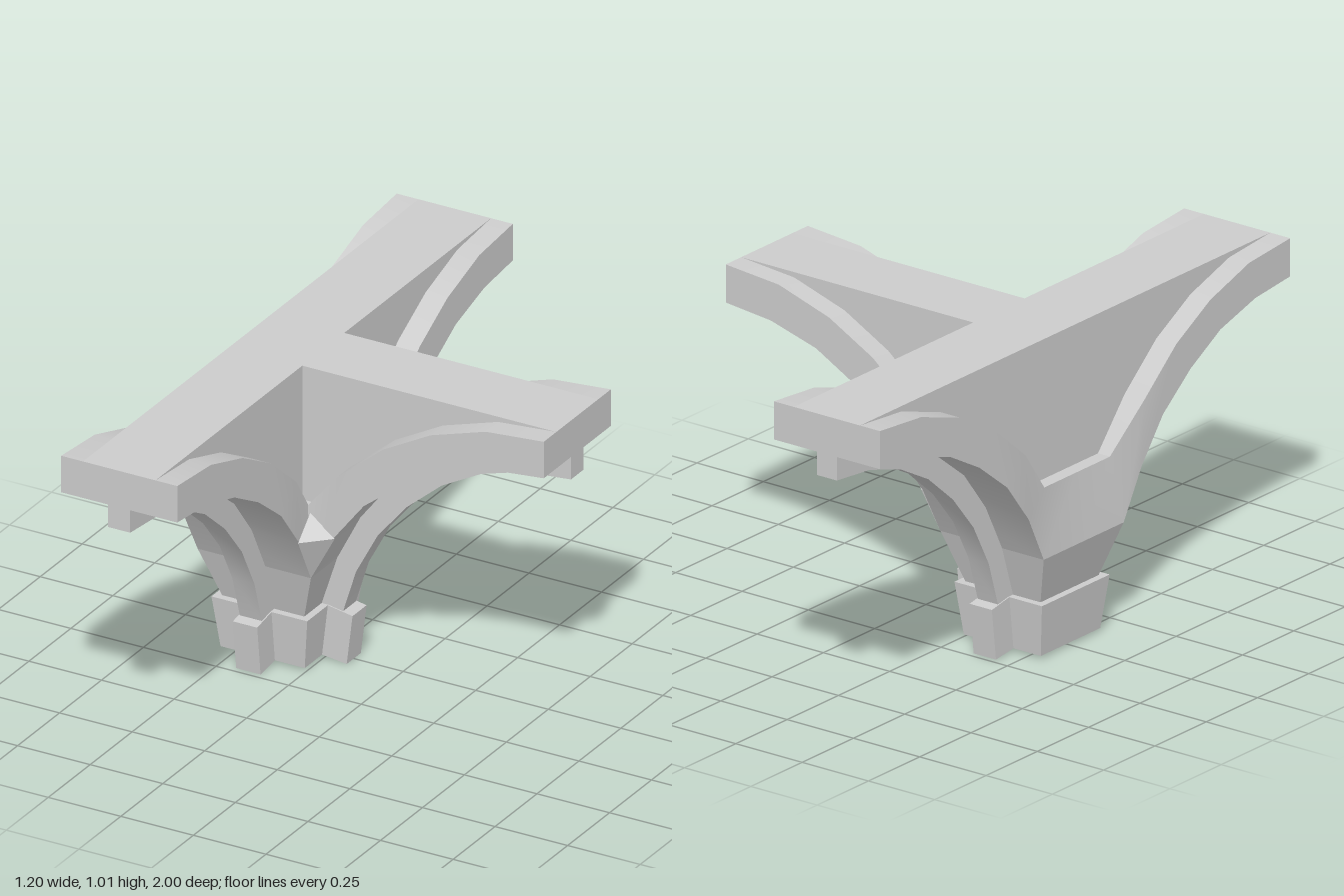
import * as THREE from 'three';
import { toCreasedNormals } from 'three/addons/utils/BufferGeometryUtils.js';
import { ConvexGeometry } from 'three/addons/geometries/ConvexGeometry.js';

const material = new THREE.MeshStandardMaterial({ color: 0xcccccc });
const TOP = 1.007;

// Loft four-cornered sections; each point is [distance, height, half width].
function loft(upper, lower) {
  const rings = upper.map(([d, y, w], k) => {
    const [e, v, u] = lower[k];
    return [[d, y, w], [d, y, -w], [e, v, -u], [e, v, u]];
  });
  const pos = [];
  const quad = (a, b, c, d) => pos.push(...a, ...b, ...c, ...a, ...c, ...d);
  for (let k = 0; k < rings.length - 1; k++) {
    const p = rings[k], q = rings[k + 1];
    for (let j = 0; j < 4; j++) {
      const n = (j + 1) % 4;
      quad(p[j], q[j], q[n], p[n]);
    }
  }
  quad(...rings[0]);
  quad(...rings[rings.length - 1].slice().reverse());
  const geometry = new THREE.BufferGeometry();
  geometry.setAttribute('position', new THREE.Float32BufferAttribute(pos, 3));
  return toCreasedNormals(geometry, 0.45);
}

function part(name, geometry) {
  const mesh = new THREE.Mesh(geometry, material);
  mesh.name = name;
  return mesh;
}

const withWidth = (points, w) => points.map(([d, y]) => [d, y, w]);

// Curves of the arch: top of band, underside of band, underside of rib
const extrados = [[0.29, 0.71], [0.445, 0.84], [0.61, 0.93], [0.8, 0.99], [1, TOP], [1, TOP]];
const intrados = [[0.275, 0.5], [0.38, 0.635], [0.515, 0.74], [0.66, 0.82], [0.83, 0.868], [1, 0.885]];
const ribCurve = [[0.215, 0.17], [0.26, 0.315], [0.335, 0.455], [0.435, 0.575],
  [0.555, 0.677], [0.69, 0.75], [0.84, 0.795], [1, 0.81]];

function createArm(name, angle) {
  const arm = new THREE.Group();
  arm.name = name;

  // Wide curved band, narrowing where it meets the column
  arm.add(part('archBand', loft(
    [[0, 0.56, 0.17], [0.16, 0.56, 0.17], ...withWidth(extrados, 0.2)],
    [[0, 0.345, 0.195], [0.195, 0.345, 0.195], ...withWidth(intrados, 0.2)])));

  // Narrow rib under the band
  arm.add(part('rib', loft(
    withWidth([[0.14, 0.18], [0.195, 0.345], ...intrados], 0.038),
    withWidth(ribCurve, 0.038))));

  // Recessed wall between band and flat top
  const wallFoot = [[0, 0.55], [0.16, 0.55], ...extrados.slice(0, 5)];
  arm.add(part('spandrelWall', loft(
    withWidth(wallFoot.map(([d]) => [d, TOP]), 0.125),
    withWidth(wallFoot, 0.125))));

  // Foot of the rib
  arm.add(part('ribFoot', loft(
    withWidth([[0, 0.18], [0.165, 0.18], [0.25, 0.165]], 0.042),
    withWidth([[0, 0.01], [0.145, 0.01], [0.23, 0]], 0.042))));

  arm.rotation.y = angle;
  return arm;
}

export function createModel() {
  const model = new THREE.Group();
  model.name = 'archSpringer';
  const body = new THREE.Group();
  body.name = 'springerBody';
  body.position.x = -0.4;
  model.add(body);

  // Three arms in a T
  body.add(createArm('sideArm', 0), createArm('frontArm', -Math.PI / 2), createArm('backArm', Math.PI / 2));

  // Tapered square column and its base block
  body.add(part('column', loft(
    [[-0.195, 0.345, 0.195], [0.195, 0.345, 0.195]],
    [[-0.14, 0.175, 0.14], [0.14, 0.175, 0.14]])));
  body.add(part('baseBlock', loft(
    [[-0.165, 0.18, 0.165], [0.165, 0.18, 0.165]],
    [[-0.145, 0.01, 0.145], [0.145, 0.01, 0.145]])));

  // Diagonal fillets in the two inner corners
  for (const s of [1, -1]) {
    const corners = [[0.28, 0.5, 0.2], [0.2, 0.5, 0.28], [0.19, 0.56, 0.19], [0.195, 0.345, 0.195]];
    body.add(part('cornerFillet', new ConvexGeometry(
      corners.map(([x, y, z]) => new THREE.Vector3(x, y, z * s)))));
  }
  return model;
}
